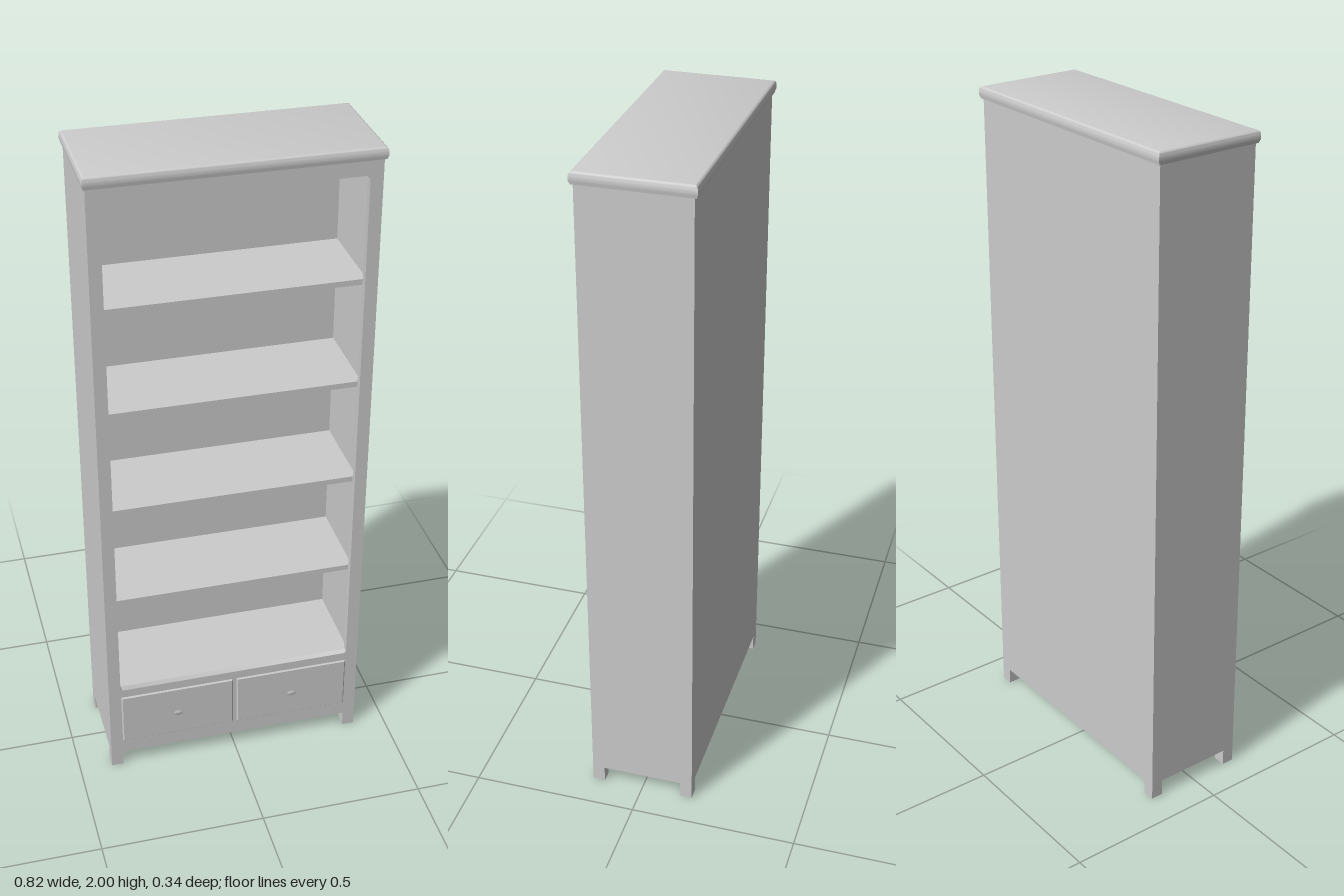
import * as THREE from 'three';
import { toCreasedNormals } from 'three/addons/utils/BufferGeometryUtils.js';

const W = 0.4, D = 0.158;              // half width and half depth of the carcass
const FOOT = 0.05, TOP = 1.965;        // underside and top of the carcass
const OPEN_X = 0.363, OPEN_Y0 = 0.3, OPEN_Y1 = 1.92;
const FRAME = 0.02;                    // face frame thickness
const WALL_X = 0.374, BACK_Z = -0.125; // inner faces of sides and back

const material = new THREE.MeshStandardMaterial({ color: 0xcccccc });

export function createModel() {
  const model = new THREE.Group();
  model.name = 'bookcase';

  const add = (name, geometry, parent = model) => {
    const mesh = new THREE.Mesh(geometry, material);
    mesh.name = name;
    parent.add(mesh);
    return mesh;
  };

  // Box given by its minimum and maximum corners
  const box = (name, x0, x1, y0, y1, z0, z1, parent) => {
    const mesh = add(name, new THREE.BoxGeometry(x1 - x0, y1 - y0, z1 - z0), parent);
    mesh.position.set((x0 + x1) / 2, (y0 + y1) / 2, (z0 + z1) / 2);
    return mesh;
  };

  const rectangle = (hw, hh) => new THREE.Shape([
    new THREE.Vector2(-hw, -hh), new THREE.Vector2(hw, -hh),
    new THREE.Vector2(hw, hh), new THREE.Vector2(-hw, hh),
  ]);

  // Carcass: sides, back, solid base and ceiling behind the face frame
  const inner = D - FRAME;
  box('leftSide', WALL_X, W, FOOT, TOP, -D, inner);
  box('rightSide', -W, -WALL_X, FOOT, TOP, -D, inner);
  box('backPanel', -WALL_X, WALL_X, FOOT, TOP, -D, BACK_Z);
  box('drawerCase', -WALL_X, WALL_X, FOOT, OPEN_Y0, BACK_Z, inner);
  box('ceiling', -WALL_X, WALL_X, OPEN_Y1, TOP, BACK_Z, inner);

  // Face frame with a softly rounded opening
  const frame = new THREE.Shape([
    new THREE.Vector2(-W, FOOT), new THREE.Vector2(W, FOOT),
    new THREE.Vector2(W, TOP), new THREE.Vector2(-W, TOP),
  ]);
  const r = 0.01;
  const hole = new THREE.Path();
  hole.absarc(OPEN_X - r, OPEN_Y0 + r, r, -Math.PI / 2, 0);
  hole.absarc(OPEN_X - r, OPEN_Y1 - r, r, 0, Math.PI / 2);
  hole.absarc(-OPEN_X + r, OPEN_Y1 - r, r, Math.PI / 2, Math.PI);
  hole.absarc(-OPEN_X + r, OPEN_Y0 + r, r, Math.PI, Math.PI * 1.5);
  hole.closePath();
  frame.holes.push(hole);
  const frameGeometry = new THREE.ExtrudeGeometry(frame, { depth: FRAME, bevelEnabled: false, curveSegments: 5 });
  add('faceFrame', toCreasedNormals(frameGeometry, 0.6)).position.z = inner;

  // Four shelves, set just behind the face frame
  for (let i = 1; i <= 4; i++) {
    const y = OPEN_Y0 + 0.325 * i;
    box('shelf' + i, -WALL_X, WALL_X, y - 0.01, y + 0.007, BACK_Z, inner);
  }

  // Square feet at the corners
  const foot = 0.037;
  for (const sx of [-1, 1]) {
    for (const sz of [-1, 1]) {
      const mesh = box('foot', 0, foot, 0, FOOT, 0, foot);
      mesh.position.x = sx * (W - foot / 2);
      mesh.position.z = sz * (D - foot / 2);
    }
  }

  // Overhanging top with rounded upper edges and a slight lower edge
  const bevel = 0.012;
  const topGeometry = new THREE.ExtrudeGeometry(rectangle(0.408 - bevel, 0.168 - bevel), {
    depth: 2 - TOP - 2 * bevel, bevelThickness: bevel, bevelSize: bevel, bevelSegments: 6,
  });
  topGeometry.translate(0, 0, bevel).rotateX(-Math.PI / 2);
  // Pull the lower bevel outward so the underside stays nearly flat
  const p = topGeometry.attributes.position;
  for (let i = 0; i < p.count; i++) {
    if (p.getY(i) < bevel) {
      p.setX(i, Math.sign(p.getX(i)) * Math.max(Math.abs(p.getX(i)), 0.405));
      p.setZ(i, Math.sign(p.getZ(i)) * Math.max(Math.abs(p.getZ(i)), 0.165));
    }
  }
  add('topBoard', toCreasedNormals(topGeometry, 0.6)).position.y = TOP;

  // Two thin drawer fronts with bevelled edges, each with a small oval knob
  const lip = 0.004;
  const drawerGeometry = new THREE.ExtrudeGeometry(rectangle(0.178 - lip, 0.088 - lip), {
    depth: 0.001, bevelThickness: lip, bevelSize: lip, bevelSegments: 1,
  });
  const knobProfile = [
    [0, 0], [0.006, 0], [0.005, 0.004], [0.011, 0.006], [0.01, 0.008], [0.006, 0.0095], [0, 0.01],
  ].map(([x, y]) => new THREE.Vector2(x, y));
  const knobGeometry = new THREE.LatheGeometry(knobProfile, 16);
  knobGeometry.rotateX(Math.PI / 2).scale(1.4, 0.9, 0.8);
  for (const [side, s] of [['left', 1], ['right', -1]]) {
    const drawer = new THREE.Group();
    drawer.name = side + 'Drawer';
    drawer.position.set(s * 0.184, 0.184, D);
    add('drawerFront', drawerGeometry, drawer).position.z = -0.001;
    add('knob', knobGeometry, drawer).position.set(0, -0.004, 0.003);
    model.add(drawer);
  }

  return model;
}
